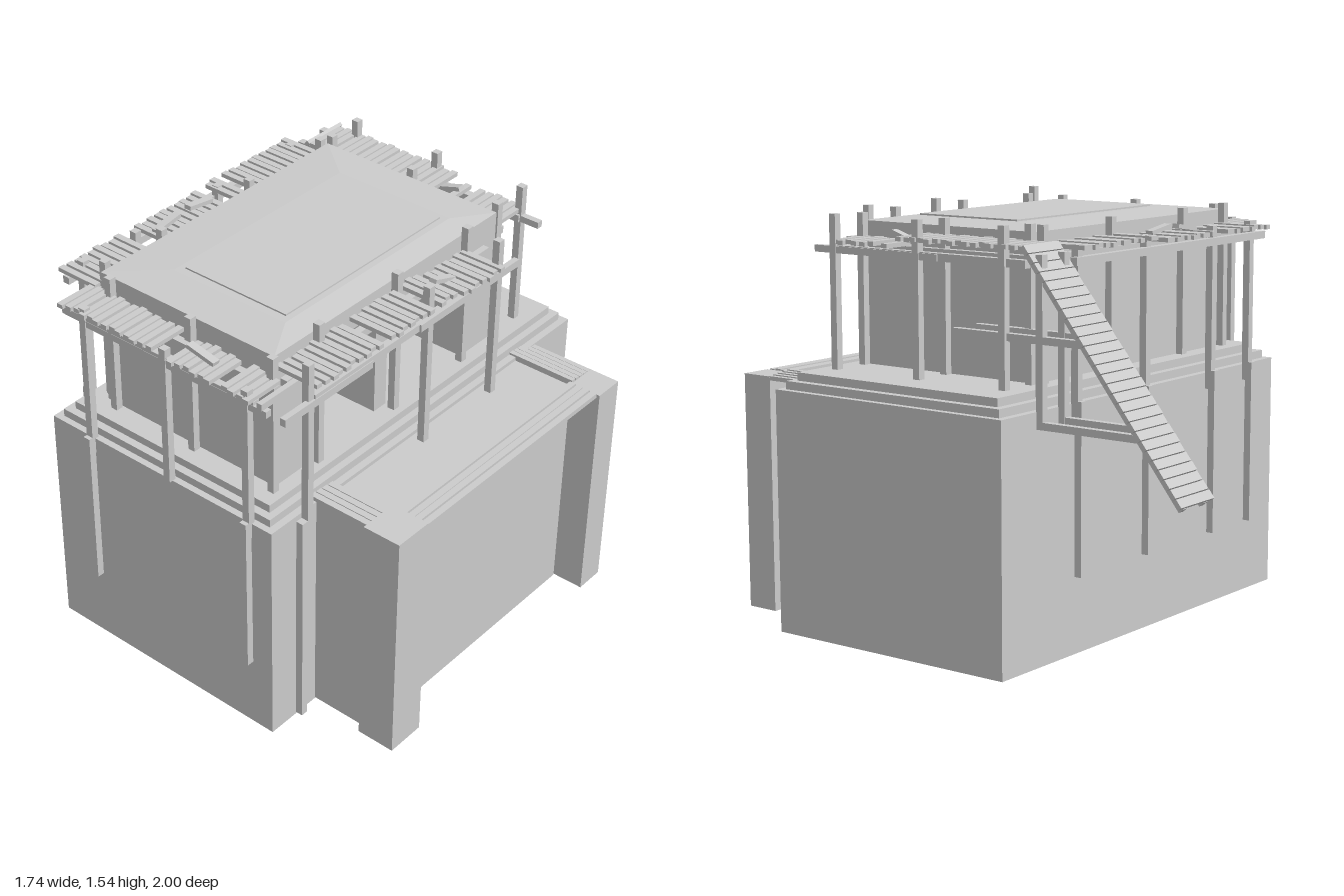
import * as THREE from 'three';

const mat = new THREE.MeshStandardMaterial({ color: 0xcccccc, flatShading: true });
const openMat = new THREE.MeshStandardMaterial({ color: 0xcccccc, flatShading: true, side: THREE.DoubleSide });

export function createModel() {
  const root = new THREE.Group();
  const group = (name, parent = root) => {
    const g = new THREE.Group();
    g.name = name;
    parent.add(g);
    return g;
  };
  // Box given by its extents on each axis
  const box = (name, x0, x1, y0, y1, z0, z1, parent = root) => {
    const m = new THREE.Mesh(new THREE.BoxGeometry(x1 - x0, y1 - y0, z1 - z0), mat);
    m.position.set((x0 + x1) / 2, (y0 + y1) / 2, (z0 + z1) / 2);
    m.name = name;
    parent.add(m);
    return m;
  };
  // Box without an underside
  const openBox = (...a) => {
    const m = box(...a);
    const idx = Array.from(m.geometry.index.array);
    idx.splice(18, 6);
    m.geometry.setIndex(idx);
    m.material = openMat;
    return m;
  };
  const post = (x, z, y0, y1, parent, w = 0.028) =>
    box('post', x - w / 2, x + w / 2, y0, y1, z - w / 2, z + w / 2, parent);

  // Base block with two terrace steps
  openBox('baseBlock', -0.84, 0.865, 0.015, 0.91, -0.395, 0.63);
  box('lowerStep', -0.815, 0.84, 0.91, 0.94, -0.367, 0.602);
  box('upperStep', -0.785, 0.81, 0.94, 0.97, -0.337, 0.575);

  // Front porch with corner pillars and plank edging
  box('porchBlock', -0.49, 0.53, 0, 0.895, 0.03, 0.875);
  box('porchSide', -0.61, -0.48, 0.02, 0.895, 0.6, 0.87);
  openBox('leftPillar', -0.63, -0.475, 0.005, 0.93, 0.85, 1);
  openBox('rightPillar', 0.53, 0.65, 0.005, 0.905, 0.87, 1);
  const edging = group('porchEdging');
  for (let i = 0; i < 4; i++) {
    const z = 0.872 + i * 0.03;
    box('frontPlank', -0.475, 0.53, 0.89, 0.912 - 0.003 * (i % 2), z, z + 0.025, edging);
  }
  for (let i = 0; i < 5; i++) {
    const x = 0.528 + i * 0.025;
    box('sidePlank', x, x + 0.02, 0.89, 0.918 - i * 0.003, 0.6, 0.88, edging);
  }
  for (let i = 0; i < 4; i++) {
    const x = -0.61 + i * 0.031;
    box('sidePlank', x, x + 0.025, 0.893, 0.925 - i * 0.003, 0.6, 0.86, edging);
  }

  // House with a recessed front
  const house = group('house');
  box('rearWalls', -0.695, 0.505, 0.97, 1.4, -0.262, 0.28, house);
  box('leftFrontWall', -0.695, -0.48, 0.97, 1.4, 0.28, 0.52, house);
  box('rightFrontWall', 0.33, 0.505, 0.97, 1.4, 0.28, 0.52, house);
  box('partition', -0.145, -0.08, 0.97, 1.4, 0.28, 0.5, house);
  box('roofSlab', -0.695, 0.505, 1.4, 1.495, -0.262, 0.52, house);
  // Low sloping roof: the top corners are pulled in to the raised panel
  const roof = box('roofSlope', -0.695, 0.505, 1.495, 1.507, -0.262, 0.52, house);
  const p = roof.geometry.attributes.position;
  for (let i = 0; i < p.count; i++) {
    if (p.getY(i) > 0) {
      p.setX(i, p.getX(i) > 0 ? 0.44 : -0.44);
      p.setZ(i, p.getZ(i) > 0 ? 0.3 : -0.2);
    }
  }
  roof.geometry.computeVertexNormals();
  box('roofPanel', -0.505, 0.325, 1.5, 1.513, -0.045, 0.405, house);

  // Slatted walkway: along the x or z axis, from a to b, across c to d
  const walkway = (name, axis, a, b, c, d, top, gaps = []) => {
    const g = group(name);
    const lay = (n, s0, s1, y0, y1, t0, t1) => axis === 'x'
      ? box(n, s0, s1, y0, y1, t0, t1, g) : box(n, t0, t1, y0, y1, s0, s1, g);
    const n = Math.round((b - a) / 0.0335);
    for (let i = 0; i < n; i++) {
      if (gaps.includes(i)) continue;
      const s = a + i * 0.0335, j = (i * 7) % 5 * 0.005;
      const y = top(s) + (i % 3) * 0.002;
      lay('slat', s, s + 0.025, y - 0.016, y, c + j * 0.6, d - (0.02 - j) * 0.7);
    }
    for (const t of [c + 0.035, d - 0.035])
      lay('beam', a, b, 1.39, 1.418, t - 0.014, t + 0.014);
    return g;
  };
  const front = walkway('frontWalkway', 'x', -0.69, 0.325, 0.52, 0.71, s => s < 0.04 ? 1.46 : 1.435, [10, 18, 22]);
  const rear = walkway('rearWalkway', 'x', -0.71, 0.5, -0.458, -0.265, s => s < 0 ? 1.442 : 1.455, [9, 10, 21, 24]);
  const left = walkway('leftWalkway', 'z', -0.3, 0.565, -0.87, -0.7, s => s < 0.15 ? 1.44 : 1.43, [13, 14, 21]);
  const right = walkway('rightWalkway', 'z', -0.35, 0.52, 0.505, 0.695, s => s < 0.2 ? 1.465 : 1.438, [17, 19]);

  // Loose tilted boards lying on the walkways
  const boards = group('looseBoards');
  const board = (x, y, z, alongZ, tilt) => {
    const m = box('looseBoard', -0.06, 0.06, -0.008, 0.008, -0.015, 0.015, boards);
    m.position.set(x, y, z);
    m.rotation.set(0, alongZ ? Math.PI / 2 : 0, tilt, 'YXZ');
  };
  board(0.09, 1.447, 0.6, false, -0.33);
  board(-0.27, 1.46, -0.36, false, 0.15);
  board(-0.1, 1.465, -0.36, false, -0.15);
  board(-0.785, 1.45, 0.29, true, 0.2);
  board(0.595, 1.455, 0.24, true, -0.3);

  // Protruding carrier beams
  box('beam', -0.84, -0.4, 1.375, 1.403, 0.67, 0.692, front);
  box('beam', -0.15, 0.405, 1.39, 1.418, 0.675, 0.697, front);
  box('beam', 0.3, 0.4, 1.39, 1.418, 0.545, 0.57, front);
  box('beam', 0.655, 0.68, 1.39, 1.415, 0.03, 0.6, right);
  box('beam', -0.85, -0.825, 1.38, 1.405, -0.2, 0.62, left);
  box('beam', -0.86, -0.66, 1.41, 1.435, 0.59, 0.61, left);

  // Front posts, the corner one reaching down beside the block
  for (const x of [-0.08, 0.312]) post(x, 0.67, 0.895, 1.53, front);
  for (const x of [-0.49, -0.08, 0.312]) post(x, 0.535, 0.97, 1.53, front);
  post(-0.703, 0.67, 0.68, 1.54, front);
  post(-0.73, 0.67, 0.06, 0.92, front);

  // Rear and left posts: upper pole lapped by a lower pole outside the block
  for (const x of [-0.64, -0.38, 0.05, 0.46]) {
    post(x, -0.407, 0.85, 1.46, rear);
    post(x, -0.422, 0.3, 0.92, rear);
  }
  for (const x of [-0.66, -0.38, 0.08, 0.48]) post(x, -0.277, 0.97, 1.52, rear);
  for (const z of [-0.2, 0.17, 0.53]) {
    post(-0.84, z, z === 0.17 ? 0.91 : 0.85, 1.45, left);
    if (z !== 0.17) post(-0.856, z, 0.3, 0.92, left);
    post(-0.715, z, 0.97, 1.51, left);
  }

  // Right posts
  for (const z of [-0.255, 0.125, 0.51]) {
    post(0.523, z, 0.97, 1.525, right);
    post(0.67, z, 0.97, 1.53, right);
  }

  // Ramp from the right walkway down behind the block
  const ramp = group('ramp');
  const length = Math.hypot(0.64, 0.81), n = 28;
  for (let i = 0; i < n; i++) {
    const s = -length / 2 + (i + 0.5) * length / n;
    box('rampSlat', -0.098 + (i % 3) * 0.002, 0.098, 0, 0.014, s - 0.0165, s + 0.0165, ramp);
  }
  for (const x of [-0.06, 0.06])
    box('rampRail', x - 0.012, x + 0.012, -0.022, 0, -length / 2, length / 2, ramp);
  ramp.position.set(0.6, 1.06, -0.668);
  ramp.rotation.x = -Math.atan2(0.81, 0.64);

  // Ramp struts and their posts
  const struts = group('rampStruts');
  for (const x of [0.535, 0.66]) {
    box('upperStrut', x - 0.013, x + 0.013, 1.14, 1.166, -0.6, -0.03, struts);
    box('lowerStrut', x - 0.013, x + 0.013, 0.85, 0.876, -0.82, -0.39, struts);
    post(x, -0.407, 0.85, 1.44, struts);
  }
  return root;
}
